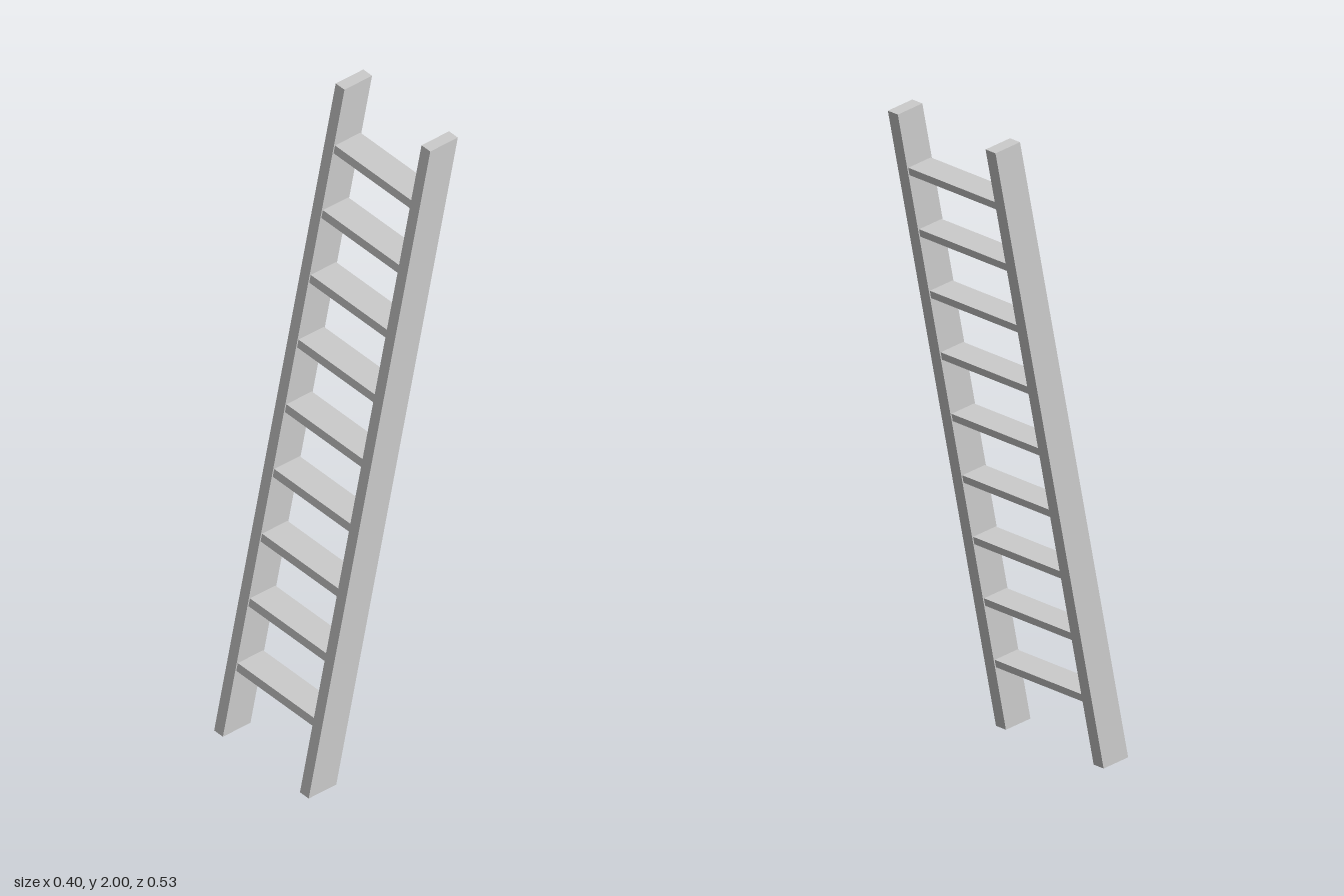
import * as THREE from 'three';

const SLOPE = -0.216; // change in z per unit of height
const material = new THREE.MeshStandardMaterial({ color: 0xcccccc, side: THREE.DoubleSide, flatShading: true });

// Box between two heights, sheared backwards so it follows the lean
function leaningBox(width, depth, y0, y1) {
  const geo = new THREE.BoxGeometry(width, y1 - y0, depth);
  geo.translate(0, (y0 + y1) / 2, 0);
  const p = geo.attributes.position;
  for (let i = 0; i < p.count; i++) p.setZ(i, p.getZ(i) + SLOPE * (p.getY(i) - 1));
  geo.computeVertexNormals();
  return geo;
}

// Drop one of the six box faces (0 +x, 1 -x, 2 top, 3 bottom, 4 front, 5 back)
function openFace(geo, face) {
  geo.setIndex(Array.from(geo.index.array).filter((_, i) => Math.floor(i / 6) !== face));
  geo.clearGroups();
  return geo;
}

export function createModel() {
  const ladder = new THREE.Group();
  ladder.name = 'ladder';

  // Side rails, level at top and foot, hollow underneath
  for (const [name, side] of [['leftRail', 1], ['rightRail', -1]]) {
    const rail = new THREE.Mesh(openFace(leaningBox(0.037, 0.098, 0, 2), 3), material);
    rail.name = name;
    rail.position.x = side * 0.1815;
    ladder.add(rail);
  }

  // Nine flat rungs, slightly shallower than the rails
  for (let i = 0; i < 9; i++) {
    const y = 0.202 + i * 0.2;
    const rung = new THREE.Mesh(leaningBox(0.326, 0.09, y, y + 0.024), material);
    rung.name = `rung${i + 1}`;
    ladder.add(rung);
  }
  return ladder;
}
